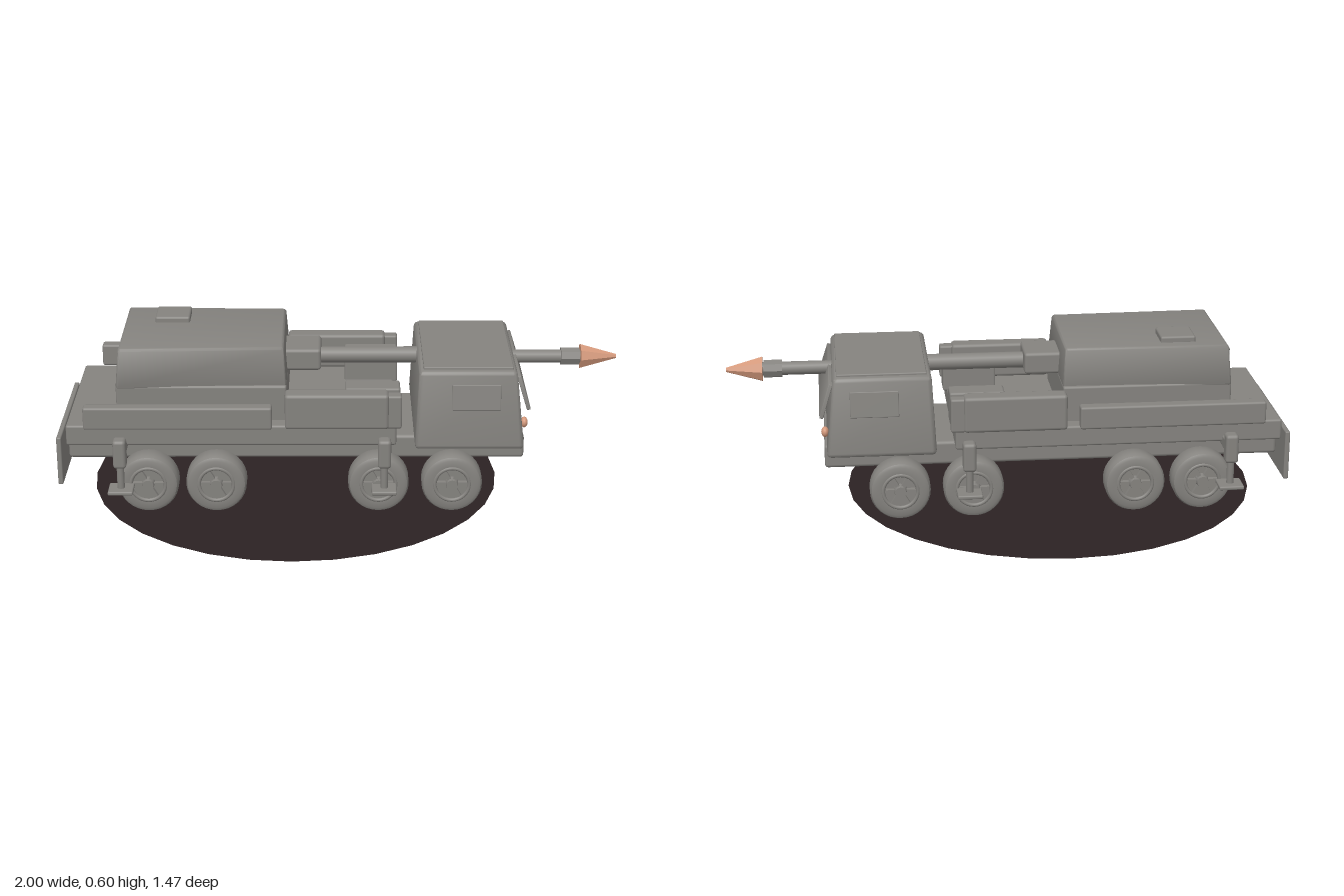
import * as THREE from 'three';
import { toCreasedNormals } from 'three/addons/utils/BufferGeometryUtils.js';
import { RoundedBoxGeometry } from 'three/addons/geometries/RoundedBoxGeometry.js';

const hull = new THREE.MeshStandardMaterial({ name: 'hull grey', color: 0x85837f });
const copper = new THREE.MeshStandardMaterial({ name: 'copper', color: 0xd4997c });
const soil = new THREE.MeshStandardMaterial({ name: 'dark base', color: 0x2c2223, side: THREE.DoubleSide });

export function createModel() {
  const model = new THREE.Group();
  model.name = 'artilleryTruck';

  const add = (name, geometry, material = hull, parent = model) => {
    const mesh = new THREE.Mesh(geometry, material);
    mesh.name = name;
    parent.add(mesh);
    return mesh;
  };

  // Softly bevelled box given by its limits on each axis
  const box = (name, [x0, x1], [y0, y1], [z0, z1], bevel = 0.008, parent = model) => {
    const size = [x1 - x0, y1 - y0, z1 - z0];
    const r = Math.min(bevel, Math.min(...size) * 0.45);
    const mesh = add(name, new RoundedBoxGeometry(...size, 2, r), hull, parent);
    mesh.position.set((x0 + x1) / 2, (y0 + y1) / 2, (z0 + z1) / 2);
    return mesh;
  };

  // Moves every vertex of a box by a rule; t runs 0 to 1 from bottom to top
  const shape = (mesh, height, rule) => {
    const p = mesh.geometry.attributes.position;
    const v = new THREE.Vector3();
    for (let i = 0; i < p.count; i++) {
      v.fromBufferAttribute(p, i);
      rule(v, v.y / height + 0.5);
      p.setXYZ(i, v.x, v.y, v.z);
    }
    mesh.geometry = toCreasedNormals(mesh.geometry, 0.7);
    return mesh;
  };

  // Round bar lying along x
  const bar = (name, x0, x1, r0, r1, y, sides, material = hull) => {
    let g = new THREE.CylinderGeometry(r1, r0, x1 - x0, sides).rotateZ(-Math.PI / 2);
    if (sides < 12) g = toCreasedNormals(g, 0.3);
    add(name, g, material).position.set((x0 + x1) / 2, y, 0);
  };

  // Round base
  const base = add('base', new THREE.CircleGeometry(0.735, 32).rotateX(-Math.PI / 2), soil);
  base.position.set(-0.16, 0.0065, 0);

  // Chassis, deck and rear flap
  box('chassis', [-0.965, 0.658], [0.157, 0.243], [-0.21, 0.21], 0.012);
  box('deck', [-0.96, 0.2], [0.243, 0.318], [-0.3, 0.3]);
  box('rearFlap', [-1, -0.982], [0.08, 0.26], [-0.272, 0.272], 0.005);

  // Gun housing with sloped upper half
  box('housingBase', [-0.785, -0.185], [0.31, 0.445], [-0.245, 0.245]);
  const housing = box('housing', [-0.785, -0.185], [0.435, 0.577], [-0.25, 0.25], 0.01);
  shape(housing, 0.142, (v, t) => {
    const forward = v.x / 0.6 + 0.5;
    v.z *= (1 - 0.07 * forward) * (1 - 0.1 * t);
    v.x *= 1 - 0.035 * t;
  });
  box('hatch', [-0.665, -0.54], [0.57, 0.598], [-0.175, -0.05]);

  // Gun
  box('mantlet', [-0.2, -0.065], [0.44, 0.52], [-0.08, 0.08], 0.012);
  bar('barrelSleeve', -0.07, 0.28, 0.029, 0.029, 0.473, 20);
  bar('barrel', 0.26, 0.81, 0.024, 0.024, 0.466, 20);
  bar('muzzleCollar', 0.8, 0.866, 0.033, 0.033, 0.466, 8);
  bar('muzzleTip', 0.87, 1, 0.046, 0.008, 0.466, 8, copper);
  bar('muzzleNeck', 0.86, 0.875, 0.024, 0.024, 0.466, 12);

  // Cab: narrows upward, with a leaning front
  const cab = box('cab', [0.265, 0.65], [0.228, 0.508], [-0.307, 0.307], 0.016);
  shape(cab, 0.28, (v, t) => {
    v.z *= 1 - 0.13 * t;
    v.x += t * (v.x > 0 ? -0.028 : 0.014);
  });
  box('cabRoof', [0.295, 0.61], [0.5, 0.516], [-0.245, 0.245], 0.004);
  const screen = box('windscreen', [-0.007, 0.007], [-0.062, 0.062], [-0.24, 0.24], 0.003);
  shape(screen, 0.124, (v, t) => { v.z *= 1.08 - 0.08 * t; });
  screen.position.set(0.648, 0.42, 0);
  screen.rotation.z = 0.3;

  for (const side of [1, -1]) {
    const span = (a, b) => (side > 0 ? [a, b] : [-b, -a]);

    // Cab side window and headlight
    const win = box('sideWindow', [0.395, 0.565], [0.37, 0.462], span(0.278, 0.287), 0.003);
    win.rotation.x = -side * 0.14;
    const lamp = add('headlight', new THREE.SphereGeometry(0.019, 16, 10), copper);
    lamp.scale.x = 0.7;
    lamp.position.set(0.654, 0.3, side * 0.222);

    // Storage along the deck
    box('sideRail', [-0.893, -0.235], [0.318, 0.4], span(0.293, 0.34));
    box('sideLocker', [-0.19, 0.172], [0.318, 0.447], span(0.272, 0.34), 0.012);
    box('lockerEnd', [0.16, 0.218], [0.318, 0.44], span(0.285, 0.33));
    box('deckLocker', [0.02, 0.215], [0.31, 0.43], span(0.145, 0.23));

    // Stabiliser legs
    for (const x of [-0.765, 0.157]) {
      const leg = new THREE.Group();
      leg.name = 'stabiliser';
      leg.position.set(x, 0, side * 0.37);
      model.add(leg);
      box('legHousing', [-0.023, 0.023], [0.193, 0.298], [-0.026, 0.026], 0.012, leg);
      add('legRod', new THREE.CylinderGeometry(0.013, 0.013, 0.1, 12), hull, leg).position.y = 0.155;
      box('legFoot', [-0.044, 0.044], [0.1, 0.114], [-0.042, 0.042], 0.005, leg);
      box('legArm', [-0.018, 0.018], [0.225, 0.265], span(-0.15, 0).map(z => z * 1), 0.005, leg)
        .position.z = -side * 0.075;
    }
  }

  // Wheels: rounded tyre, recessed rim with spokes, axle
  const tyreProfile = [
    [0.066, -0.043], [0.09, -0.044], [0.101, -0.038], [0.107, -0.026], [0.107, 0.026],
    [0.101, 0.038], [0.09, 0.044], [0.066, 0.043], [0.062, 0.03], [0.062, -0.03], [0.066, -0.043],
  ].map(([r, y]) => new THREE.Vector2(r, y));
  const tyreGeo = toCreasedNormals(new THREE.LatheGeometry(tyreProfile, 32).rotateX(Math.PI / 2), 0.6);
  const rimGeo = new THREE.CylinderGeometry(0.063, 0.063, 0.05, 32).rotateX(Math.PI / 2);
  const hubGeo = new THREE.CylinderGeometry(0.02, 0.024, 0.028, 16).rotateX(Math.PI / 2);
  const ringGeo = new THREE.TorusGeometry(0.061, 0.007, 8, 32);
  const spokeGeo = new THREE.BoxGeometry(0.045, 0.014, 0.016).translate(0.036, 0, 0);
  const axleGeo = new THREE.CylinderGeometry(0.025, 0.025, 0.5, 16).rotateX(Math.PI / 2);

  for (const x of [-0.674, -0.434, 0.138, 0.397]) {
    add('axle', axleGeo).position.set(x, 0.107, 0);
    for (const side of [1, -1]) {
      const wheel = new THREE.Group();
      wheel.name = 'wheel';
      wheel.position.set(x, 0.107, side * 0.29);
      if (side < 0) wheel.rotation.y = Math.PI;
      model.add(wheel);
      add('tyre', tyreGeo, hull, wheel);
      add('rim', rimGeo, hull, wheel);
      add('rimRing', ringGeo, hull, wheel).position.z = 0.04;
      add('hub', hubGeo, hull, wheel).position.z = 0.039;
      for (let i = 0; i < 6; i++) {
        const spoke = add('spoke', spokeGeo, hull, wheel);
        spoke.position.z = 0.033;
        spoke.rotation.z = (i * Math.PI) / 3;
      }
    }
  }
  return model;
}
